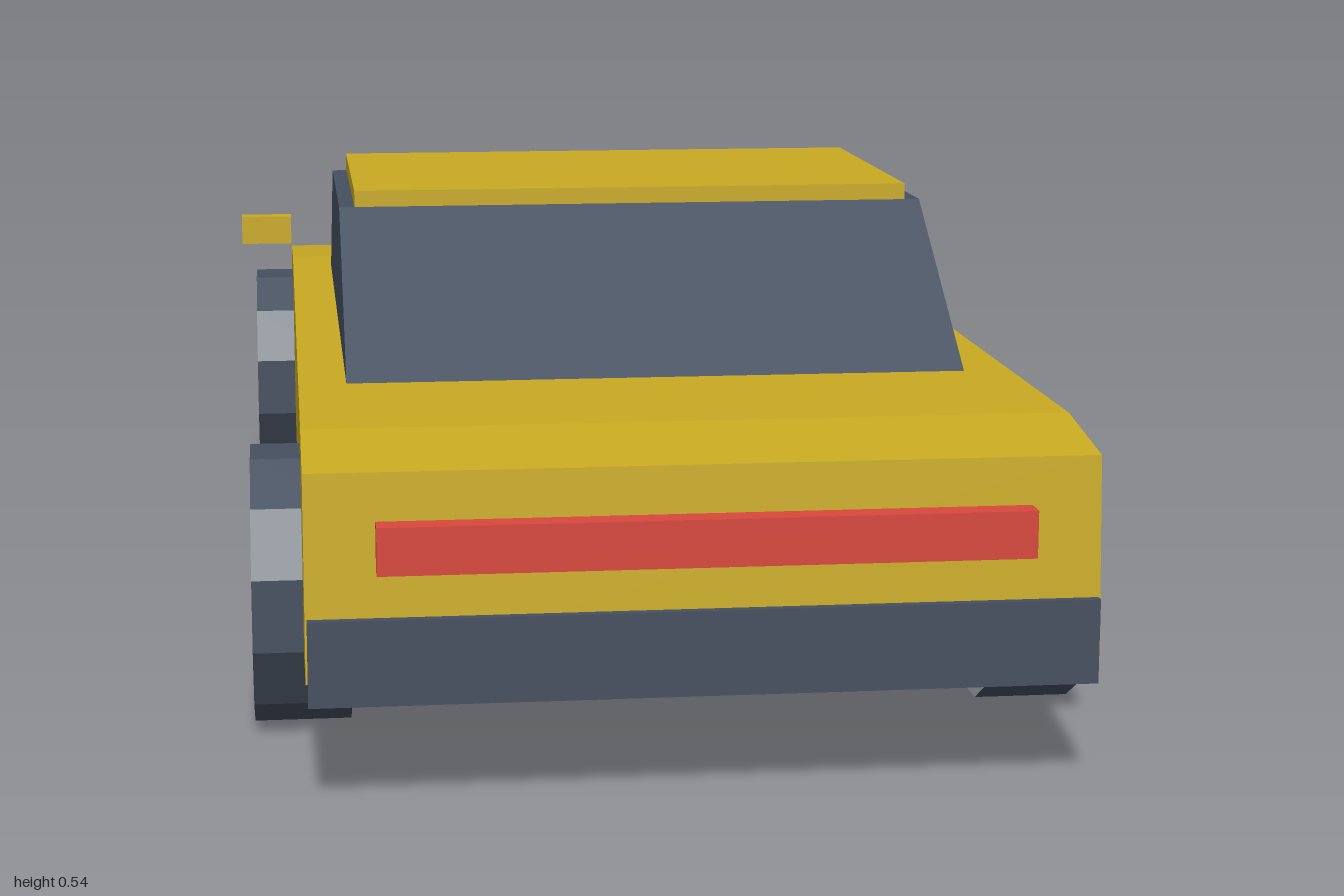
import * as THREE from 'three';

const mat = (name, color) => {
  const m = new THREE.MeshStandardMaterial({ color });
  m.name = name;
  return m;
};

// Solid from a (z, y) side profile, centred across x
function prism(profile, width) {
  const shape = new THREE.Shape(profile.map(([z, y]) => new THREE.Vector2(z, y)));
  const geo = new THREE.ExtrudeGeometry(shape, { depth: width, bevelEnabled: false });
  geo.rotateY(-Math.PI / 2);
  geo.translate(width / 2, 0, 0);
  return geo;
}

// Box from its ranges on y and z, centred on x
function slab(width, y0, y1, z0, z1, x = 0) {
  const geo = new THREE.BoxGeometry(width, y1 - y0, z1 - z0);
  geo.translate(x, (y0 + y1) / 2, (z0 + z1) / 2);
  return geo;
}

export function createModel() {
  const paint = mat('gold paint', 0xc9aa22);
  const dark = mat('dark slate', 0x465060);
  const hub = mat('wheel grey', 0xb4b7bc);
  const lamp = mat('pale lamp', 0xc9c6bb);
  const red = mat('red lamp', 0xd9483d);

  const car = new THREE.Group();
  car.name = 'car';
  const add = (name, geo, material) => {
    const mesh = new THREE.Mesh(geo, material);
    mesh.name = name;
    car.add(mesh);
    return mesh;
  };

  // Wedge-shaped body
  add('body', prism([
    [0.985, 0.135], [0.97, 0.345], [0.84, 0.362], [0.25, 0.356], [-0.42, 0.35],
    [-0.89, 0.297], [-0.985, 0.243], [-0.972, 0.127], [-0.77, 0.098], [0.76, 0.098],
  ], 0.802), paint);

  // Glass cabin and roof panel
  add('cabin', prism([
    [0.59, 0.34], [0.59, 0.358], [0.334, 0.522], [-0.075, 0.516], [-0.33, 0.35], [-0.33, 0.34],
  ], 0.696), dark);
  add('roof', prism([
    [0.335, 0.522], [0.335, 0.541], [-0.083, 0.537], [-0.083, 0.516],
  ], 0.66), paint);

  // Bumpers and lamp bars at both ends
  add('redBumper', slab(0.798, 0.112, 0.2, 0.916, 0.99), dark);
  add('paleBumper', slab(0.798, 0.104, 0.19, -0.993, -0.914), dark);
  add('redLampBar', slab(0.66, 0.247, 0.296, 0.97, 1), red);
  add('paleLampBar', slab(0.64, 0.226, 0.27, -1, -0.978), lamp);

  for (const side of [-1, 1]) {
    add('mirror', slab(0.068, 0.386, 0.424, -0.331, -0.307, side * 0.437), paint);

    // Twelve-sided wheels, dark tread with grey faces
    for (const z of [-0.628, 0.628]) {
      const geo = new THREE.CylinderGeometry(0.152, 0.152, 0.105, 12, 1, false, Math.PI / 12);
      geo.rotateZ(Math.PI / 2);
      const tread = dark.clone();
      tread.flatShading = true;
      const wheel = add('wheel', geo.toNonIndexed(), [dark, hub, hub]);
      wheel.geometry.computeVertexNormals(); // faceted tread
      wheel.position.set(side * 0.4025, 0.147, z);
    }
  }
  return car;
}
